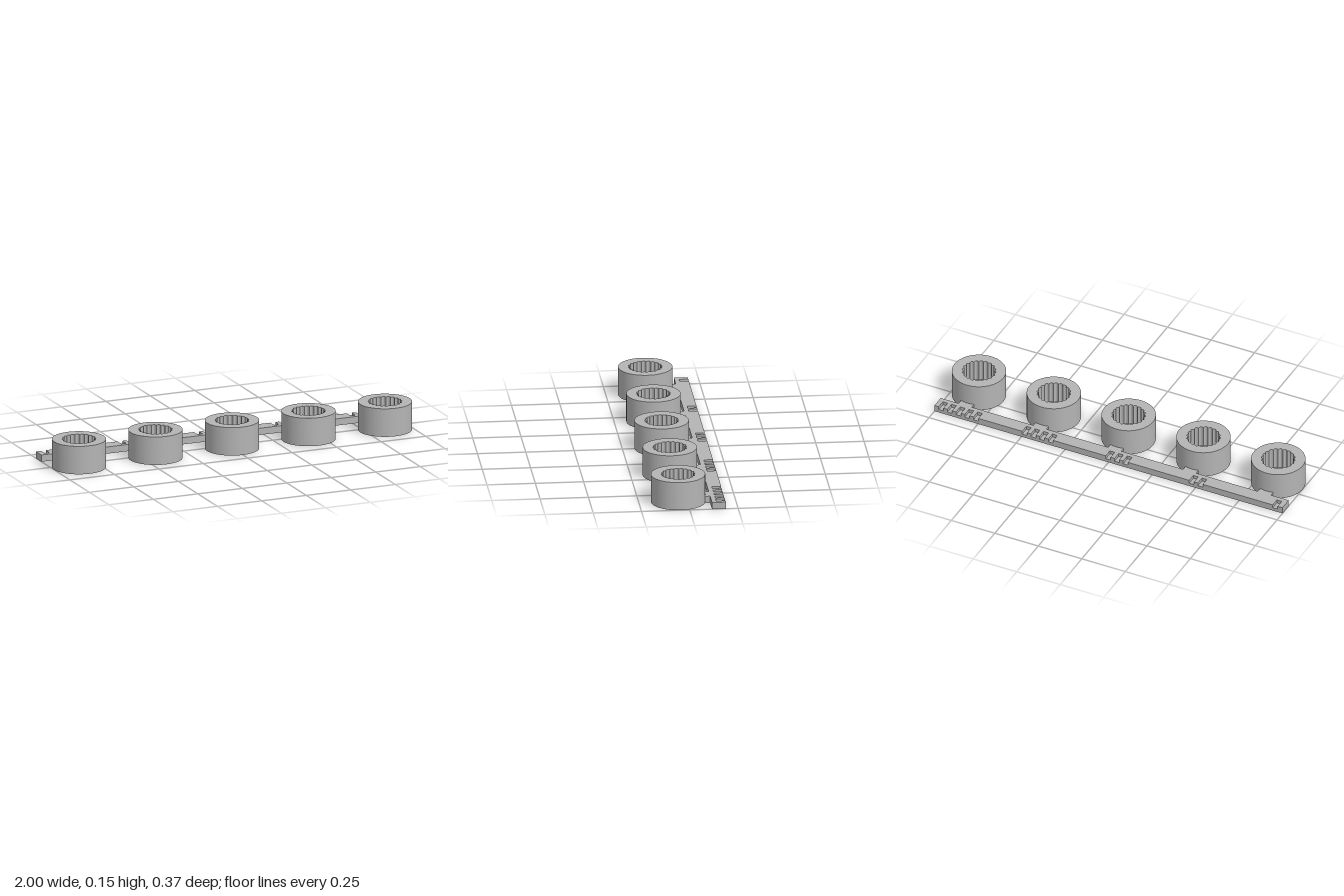
import * as THREE from 'three';
import { toCreasedNormals } from 'three/addons/utils/BufferGeometryUtils.js';

const COUNT = 5, PITCH = 0.43, RING_Z = 0.047;
const BAR_BACK = -0.187, BAR_FRONT = -0.115, BAR_H = 0.036;
const SLOT_FLOOR = 0.018, SLOT_END = -0.139, SLOT_W = 0.028, SLOT_STEP = 0.05;

// Extrude a plan outline (drawn as x, -z) upward from y0 to y1
function slab(shape, y0, y1) {
  const g = new THREE.ExtrudeGeometry(shape, { depth: y1 - y0, bevelEnabled: false, curveSegments: 72 });
  g.rotateX(-Math.PI / 2);
  g.translate(0, y0, 0);
  return toCreasedNormals(g, 0.4);
}

function disc(radius) {
  return new THREE.Shape().absarc(0, 0, radius, 0, Math.PI * 2, false);
}

function roundHole(radius) {
  return new THREE.Path().absarc(0, 0, radius, 0, Math.PI * 2, true);
}

// Splined socket outline: alternating rounded grooves and ridges
function splineHole(teeth, rIn, rOut) {
  const pts = [];
  const steps = teeth * 6;
  for (let i = 0; i < steps; i++) {
    const a = -i / steps * Math.PI * 2;
    const r = rIn + (rOut - rIn) * Math.abs(Math.cos(a * teeth / 2));
    pts.push(new THREE.Vector2(r * Math.cos(a), r * Math.sin(a)));
  }
  return new THREE.Path(pts);
}

export function createModel() {
  const model = new THREE.Group();
  const grey = new THREE.MeshStandardMaterial({ color: 0xb4b4b4 });
  grey.name = 'grey plastic';

  const add = (parent, name, geometry) => {
    const mesh = new THREE.Mesh(geometry, grey);
    mesh.name = name;
    parent.add(mesh);
    return mesh;
  };

  // Socket: splined wall over a floor with a small through hole
  const floorShape = disc(0.14);
  floorShape.holes.push(roundHole(0.046));
  const wallShape = disc(0.14);
  wallShape.holes.push(splineHole(20, 0.079, 0.088));
  const floorGeo = slab(floorShape, 0, 0.03);
  const wallGeo = slab(wallShape, 0.03, 0.15);

  // Tab joining a socket to the bar
  const tabGeo = new THREE.BoxGeometry(0.075, BAR_H, 0.03);
  tabGeo.translate(0, BAR_H / 2, BAR_FRONT + 0.015);

  const comb = new THREE.Shape();
  comb.moveTo(1, -BAR_BACK);
  const slots = [];
  for (let i = 0; i < COUNT; i++) {
    const x = (i - 2) * PITCH;
    const unit = new THREE.Group();
    unit.name = 'socket' + (i + 1);
    unit.position.x = x;
    add(unit, 'socketFloor', floorGeo).position.z = RING_Z;
    add(unit, 'socketWall', wallGeo).position.z = RING_Z;
    add(unit, 'tab', tabGeo);
    model.add(unit);
    // Counting slots: one more for every socket
    for (let k = 0; k <= i; k++) slots.push(x - 0.098 + k * SLOT_STEP);
  }

  // Bar: solid base with a notched upper layer
  for (const x of slots.reverse()) {
    const a = x + SLOT_W / 2, b = x - SLOT_W / 2;
    comb.lineTo(a, -BAR_BACK);
    comb.lineTo(a, -SLOT_END);
    comb.lineTo(b, -SLOT_END);
    comb.lineTo(b, -BAR_BACK);
  }
  comb.lineTo(-1, -BAR_BACK);
  comb.lineTo(-1, -BAR_FRONT);
  comb.lineTo(1, -BAR_FRONT);
  comb.closePath();
  add(model, 'notchedBarTop', slab(comb, SLOT_FLOOR, BAR_H));

  const base = new THREE.BoxGeometry(2, SLOT_FLOOR, BAR_FRONT - BAR_BACK);
  base.translate(0, SLOT_FLOOR / 2, (BAR_FRONT + BAR_BACK) / 2);
  add(model, 'barBase', base);

  return model;
}
